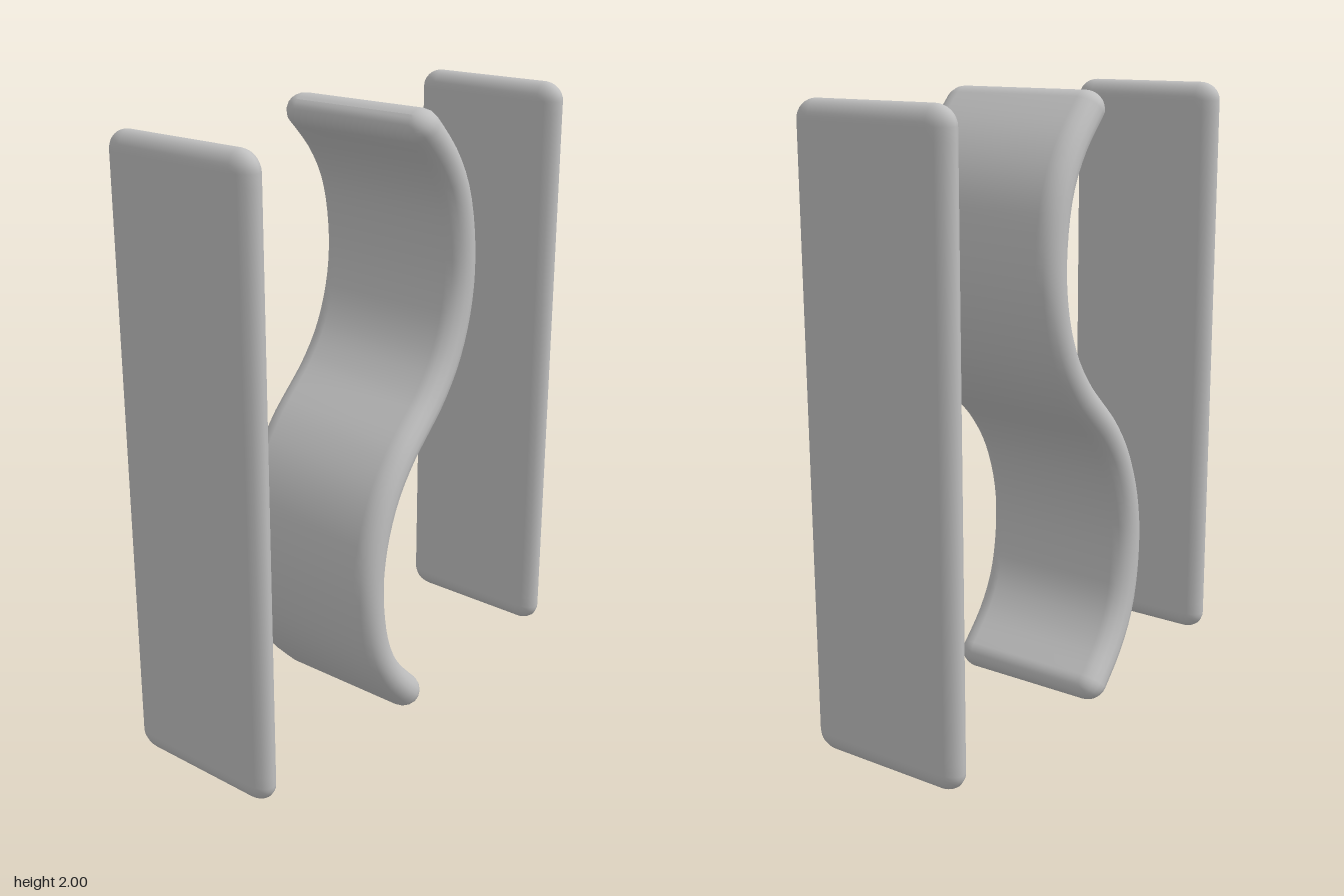
import * as THREE from 'three';

// Sweep a slab with rounded edges and rounded ends along a path in the xy plane.
function sweptSlab(curve, halfWidth, halfThick, edge, endLen) {
  const SIDE = 8, CAP = 8, BODY = 48;
  const length = curve.getLength();

  // Stations along the path: dense at the ends, even in between
  const stations = [];
  for (let i = 0; i <= CAP; i++) stations.push(endLen * (1 - Math.cos((i / CAP) * Math.PI / 2)));
  for (let i = 1; i < BODY; i++) stations.push(endLen + (length - 2 * endLen) * i / BODY);
  for (let i = CAP; i >= 0; i--) stations.push(length - stations[i]);

  const positions = [], indices = [];
  const ring = 2 * (SIDE + 1);
  for (const s of stations) {
    const u = s / length;
    const p = curve.getPointAt(u), t = curve.getTangentAt(u);
    const d = Math.min(s, length - s, endLen) / endLen;
    const k = Math.sqrt(Math.max(0, 1 - (1 - d) ** 2));
    const flat = halfWidth - edge;
    for (let j = 0; j < ring; j++) {
      const half = j > SIDE ? 1 : 0;
      const a = -Math.PI / 2 + Math.PI * (half + (j - half * (SIDE + 1)) / SIDE);
      const n = halfThick * k * Math.sin(a);
      const z = (half ? -flat : flat) + edge * k * Math.cos(a);
      positions.push(p.x + t.y * n, p.y - t.x * n, z);
    }
  }
  for (let i = 0; i < stations.length - 1; i++) {
    for (let j = 0; j < ring; j++) {
      const a = i * ring + j, b = i * ring + (j + 1) % ring;
      indices.push(a, a + ring, b, b, a + ring, b + ring);
    }
  }
  // Wind faces outward
  for (let i = 0; i < indices.length; i += 3) {
    [indices[i + 1], indices[i + 2]] = [indices[i + 2], indices[i + 1]];
  }
  const geometry = new THREE.BufferGeometry();
  geometry.setAttribute('position', new THREE.Float32BufferAttribute(positions, 3));
  geometry.setIndex(orient(positions, indices));
  geometry.computeVertexNormals();
  return geometry;
}

// Flip every triangle if the enclosed volume comes out negative
function orient(p, idx) {
  const v = (i) => new THREE.Vector3(p[3 * i], p[3 * i + 1], p[3 * i + 2]);
  let volume = 0;
  for (let i = 0; i < idx.length; i += 3) {
    volume += v(idx[i]).dot(v(idx[i + 1]).cross(v(idx[i + 2])));
  }
  return volume < 0 ? idx.slice().reverse() : idx;
}

export function createModel() {
  const model = new THREE.Group();
  const grey = new THREE.MeshStandardMaterial({ color: 0xbfbfbf });
  grey.name = 'plain grey';

  // Two flat upright panels
  const panelPath = new THREE.LineCurve3(new THREE.Vector3(0, 0.01, 0), new THREE.Vector3(0, 1.995, 0));
  const panelGeometry = sweptSlab(panelPath, 0.277, 0.043, 0.07, 0.06);
  for (const [name, x] of [['leftPanel', 0.725], ['rightPanel', -0.728]]) {
    const panel = new THREE.Mesh(panelGeometry, grey);
    panel.name = name;
    panel.position.x = x;
    model.add(panel);
  }

  // S-shaped ribbon: the upper half, turned about the middle for the lower half
  const upper = [[0.075, 1.075], [0.155, 1.19], [0.21, 1.34], [0.227, 1.5],
    [0.197, 1.7], [0.13, 1.83], [-0.014, 1.985]];
  const lower = upper.map(([x, y]) => [-x, 2 - y]).reverse();
  const path = new THREE.CatmullRomCurve3(
    [...lower, [0, 1], ...upper].map(([x, y]) => new THREE.Vector3(x, y, 0)), false, 'centripetal');
  path.arcLengthDivisions = 600;
  const ribbon = new THREE.Mesh(sweptSlab(path, 0.287, 0.057, 0.065, 0.06), grey);
  ribbon.name = 'curvedRibbon';
  model.add(ribbon);

  return model;
}
